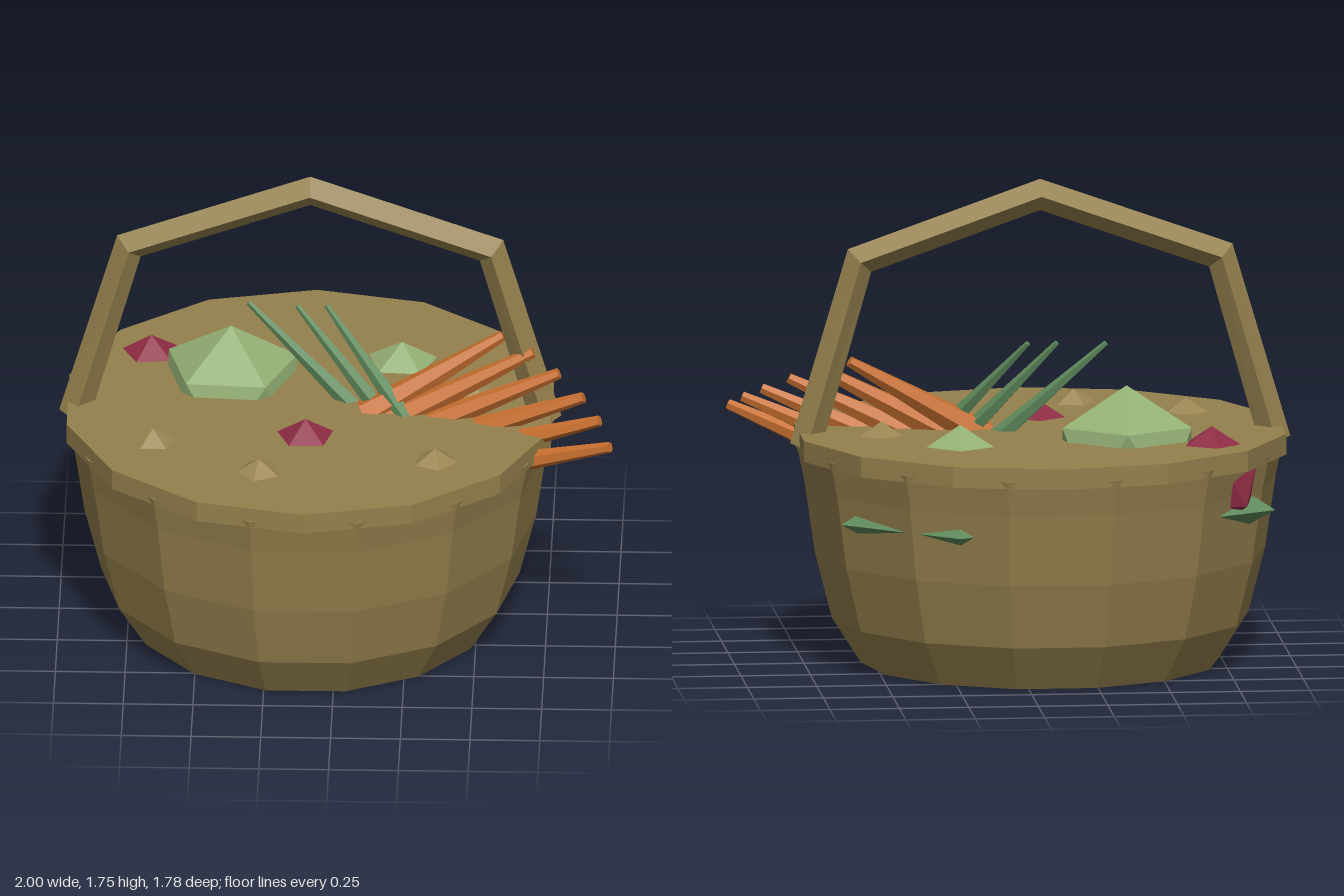
import * as THREE from 'three';

const mat = (name, color) => {
  const m = new THREE.MeshStandardMaterial({ color, flatShading: true });
  m.name = name;
  return m;
};

export function createModel() {
  const wicker = mat('wicker brown', 0x94804d);
  const cabbageGreen = mat('cabbage green', 0x93b075);
  const leafGreen = mat('leaf green', 0x5f8a5c);
  const beetRed = mat('beet red', 0x8e2c44);
  const carrotOrange = mat('carrot orange', 0xc8702f);
  const potatoTan = mat('potato tan', 0x9b8654);

  const root = new THREE.Group();
  root.name = 'vegetableBasket';
  const add = (name, geo, material, x = 0, y = 0, z = 0) => {
    const mesh = new THREE.Mesh(geo, material);
    mesh.name = name;
    mesh.position.set(x, y, z);
    root.add(mesh);
    return mesh;
  };
  const CX = -0.1; // basket axis

  // Basket body: 14-sided bowl with corners on the x axis
  const profile = [[0, 0], [0.645, 0], [0.75, 0.165], [0.81, 0.4], [0.848, 0.66], [0.875, 0.79], [0, 0.79]]
    .map(([r, y]) => new THREE.Vector2(r, y));
  add('basketBody', new THREE.LatheGeometry(profile, 14, Math.PI / 2), wicker, CX);

  // Rim and flat lid, with corners on the z axis
  add('basketRim', new THREE.CylinderGeometry(0.89, 0.89, 0.075, 14), wicker, CX, 0.8025);

  // Handle: diamond section swept over four straight segments
  const path = [[0.845, 0.785], [0.65, 1.46], [0, 1.69], [-0.65, 1.46], [-0.845, 0.785]];
  const outward = [[0.055, 0.015], [0.042, 0.042], [0, 0.057], [-0.042, 0.042], [-0.055, 0.015]];
  const pos = [], idx = [];
  path.forEach(([x, y], i) => {
    const [ox, oy] = outward[i];
    pos.push(x + ox, y + oy, 0, x, y, 0.055, x - ox, y - oy, 0, x, y, -0.055);
    if (i === 4) return;
    for (let k = 0; k < 4; k++) {
      const a = i * 4 + k, b = i * 4 + (k + 1) % 4;
      idx.push(a, a + 4, b, b, a + 4, b + 4);
    }
  });
  idx.push(0, 1, 2, 0, 2, 3, 16, 18, 17, 16, 19, 18);
  const handleGeo = new THREE.BufferGeometry();
  handleGeo.setAttribute('position', new THREE.Float32BufferAttribute(pos, 3));
  handleGeo.setIndex(idx);
  handleGeo.computeVertexNormals();
  add('handle', handleGeo, wicker, CX);

  // Faceted vegetable: icosahedron standing on a corner, top at the given height
  const lump = (name, material, x, top, z, r, turn, squash = 1) => {
    const g = new THREE.IcosahedronGeometry(r, 0);
    g.rotateX(-Math.atan(1.618034));
    g.rotateY(THREE.MathUtils.degToRad(turn - 54));
    g.scale(1, squash, 1);
    return add(name, g, material, x, top - r * squash, z);
  };

  // Cabbages, each with a flat five-pointed skirt of outer leaves
  for (const [x, top, z, s] of [[-0.39, 1.03, -0.225, 1], [0.22, 0.915, -0.34, 0.8]]) {
    lump('cabbage', cabbageGreen, x, top, z, 0.272 * s, 14, 0.95);
    const leaves = new THREE.SphereGeometry(1, 5, 4);
    leaves.rotateY(THREE.MathUtils.degToRad(13 - 36));
    leaves.scale(0.56 * s, 0.13 * s, 0.56 * s);
    add('cabbageLeaves', leaves, leafGreen, x, top - 0.425 * s, z);
  }

  // Beets
  lump('beet', beetRed, -0.68, 0.905, -0.39, 0.19, 25);
  lump('beet', beetRed, -0.11, 0.905, 0.26, 0.19, 21);

  // Potatoes
  [[-0.655, 0.32], [-0.27, 0.55], [0.36, 0.45], [0.48, -0.09]].forEach(([x, z], i) =>
    lump('potato', potatoTan, x, 0.89, z, 0.14, 20 + i * 23));

  // Tapered rod from a base point to a tip point
  const rod = (name, material, base, tip, rBase, rTip, sides) => {
    const a = new THREE.Vector3(...base), b = new THREE.Vector3(...tip);
    const d = b.clone().sub(a);
    const mesh = add(name, new THREE.CylinderGeometry(rTip, rBase, d.length(), sides), material);
    mesh.position.copy(a).add(b).multiplyScalar(0.5);
    mesh.quaternion.setFromUnitVectors(new THREE.Vector3(0, 1, 0), d.normalize());
  };

  // Carrots fanned over the side of the basket
  const tips = [[0.59, 1.1, -0.035], [0.7, 1.07, 0.035], [0.795, 1.02, 0.1],
    [0.885, 0.97, 0.19], [0.945, 0.925, 0.285], [0.985, 0.878, 0.4]];
  tips.forEach((tip, i) => {
    const t = i / 5;
    rod('carrot', carrotOrange, [0.1 + 0.17 * t, 0.81 - 0.22 * t, 0.04 + 0.06 * t], tip, 0.06, 0.02, 6);
  });

  // Green stems
  for (const [base, tip] of [
    [[0.08, 0.79, -0.015], [-0.325, 1.17, -0.135]],
    [[0.185, 0.79, 0.05], [-0.15, 1.17, -0.115]],
    [[0.27, 0.79, 0.1], [-0.045, 1.17, -0.12]],
  ]) rod('greenStem', leafGreen, base, tip, 0.036, 0.01, 5);

  return root;
}
